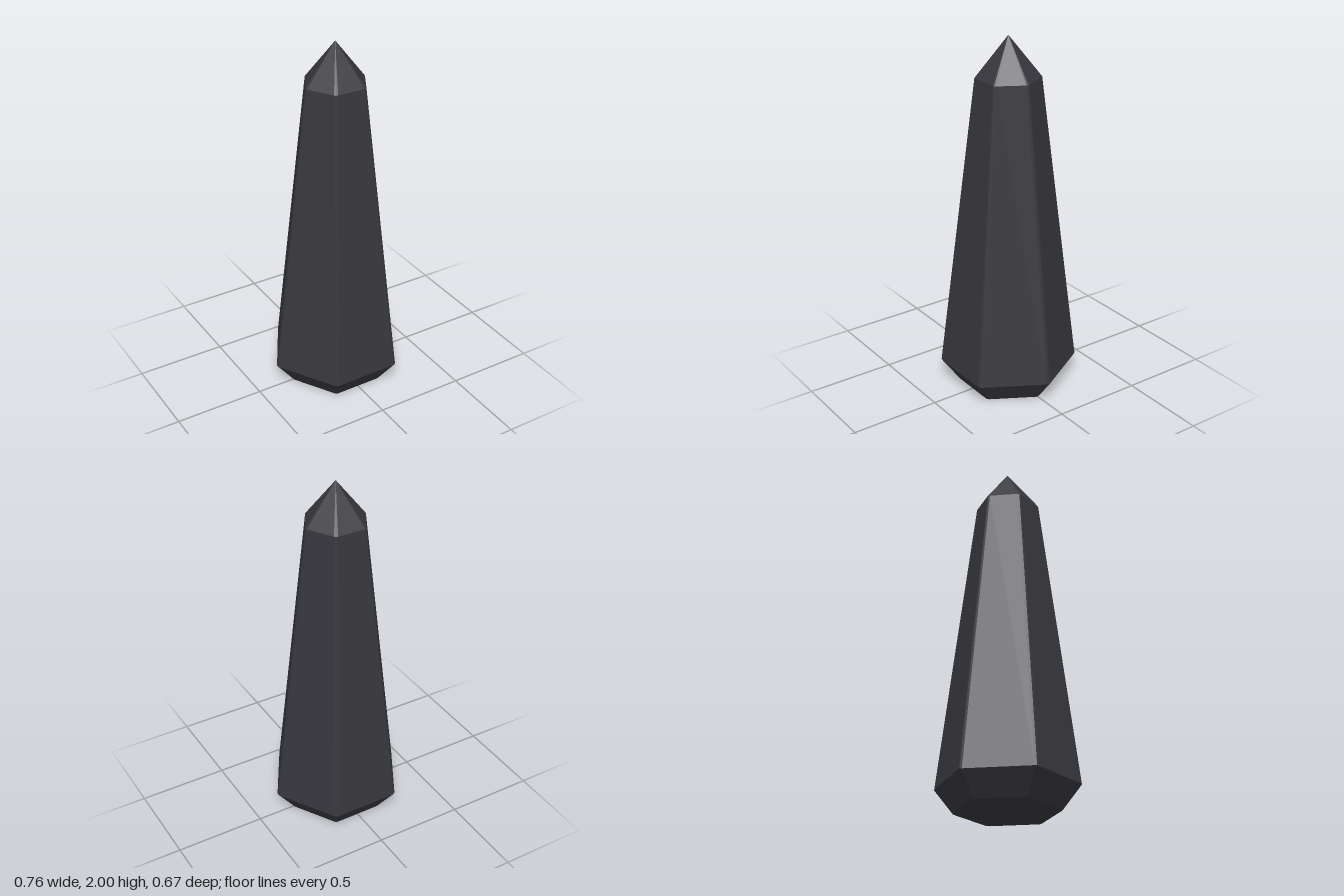
import * as THREE from 'three';

// Hexagonal ring with softly trimmed corners; a = distance from axis to a flat side
function ring(a, y, trim) {
  const pts = [];
  const R = a / Math.cos(Math.PI / 6);
  for (let i = 0; i < 6; i++) {
    const t = i * Math.PI / 3;
    const corner = new THREE.Vector3(R * Math.cos(t), y, R * Math.sin(t));
    for (const s of [-1, 0, 1]) {
      // slide along the adjoining side, or pull the middle point inwards
      const d = s === 0 ? t + Math.PI : t + s * Math.PI * 2 / 3;
      const len = s === 0 ? trim * 0.28 : trim;
      pts.push(corner.clone().add(new THREE.Vector3(Math.cos(d) * len, 0, Math.sin(d) * len)));
    }
  }
  return pts;
}

// Faceted band between two rings
function band(lower, upper) {
  const pos = [];
  const n = lower.length;
  const tri = (...p) => p.forEach(v => pos.push(v.x, v.y, v.z));
  for (let i = 0; i < n; i++) {
    const j = (i + 1) % n;
    tri(lower[i], upper[i], upper[j]);
    tri(lower[i], upper[j], lower[j]);
  }
  const geo = new THREE.BufferGeometry();
  geo.setAttribute('position', new THREE.Float32BufferAttribute(pos, 3));
  geo.computeVertexNormals();
  return geo;
}

export function createModel() {
  const group = new THREE.Group();
  group.name = 'crystalObelisk';
  const stone = new THREE.MeshStandardMaterial({ color: 0x38373d });
  stone.name = 'dark stone';

  const foot = ring(0.246, 0, 0.012);
  const shoulder = ring(0.333, 0.13, 0.014);
  const neck = ring(0.155, 1.777, 0.012);
  const centre = y => Array(18).fill(new THREE.Vector3(0, y, 0));

  const add = (name, lower, upper) => {
    const mesh = new THREE.Mesh(band(lower, upper), stone);
    mesh.name = name;
    group.add(mesh);
  };
  add('underside', centre(0), foot);
  add('baseBevel', foot, shoulder);
  add('shaft', shoulder, neck);
  add('pointedTip', neck, centre(2));
  return group;
}
